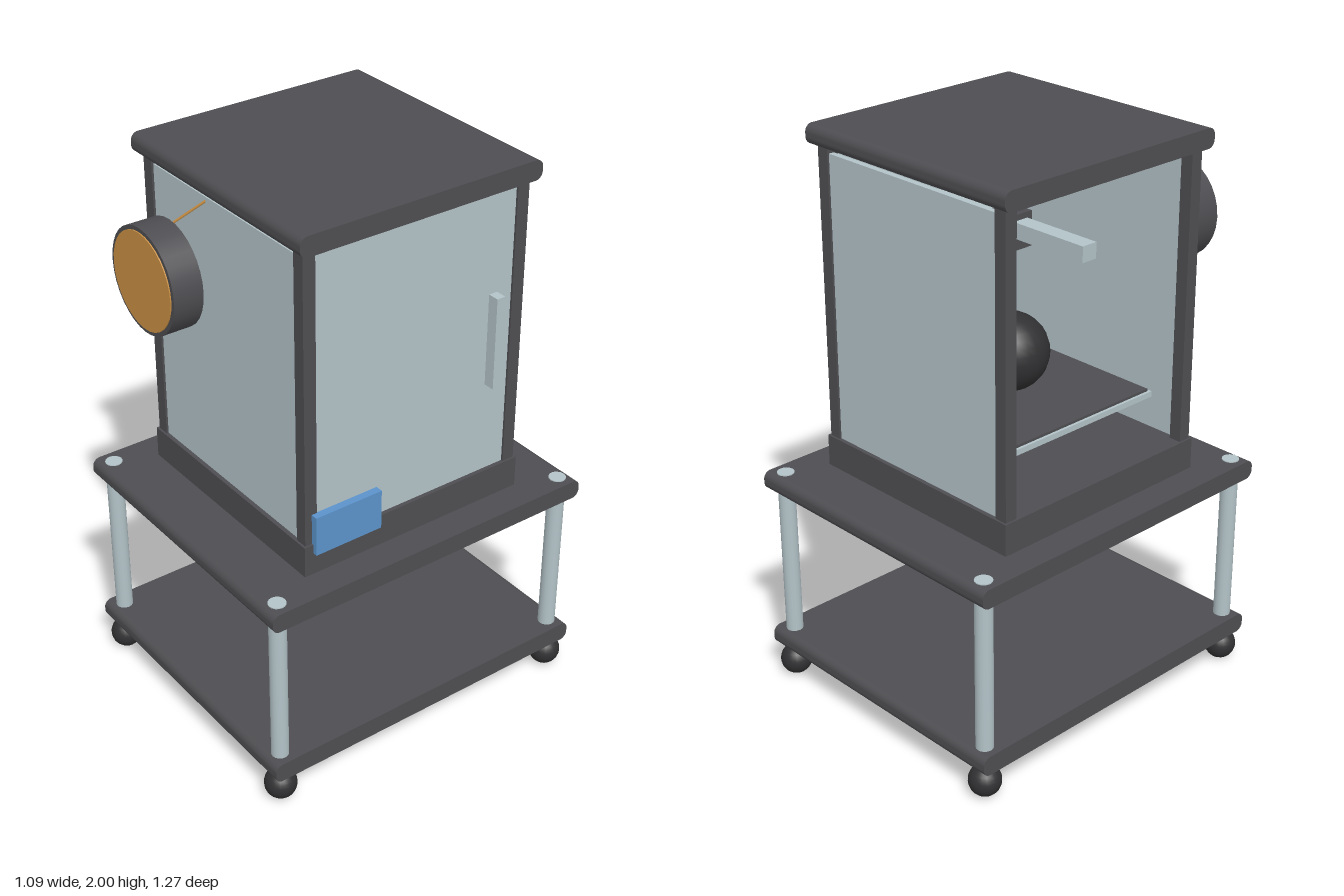
import * as THREE from 'three';

const mat = (name, color, side = THREE.FrontSide) => {
  const m = new THREE.MeshStandardMaterial({ color, side });
  m.name = name;
  return m;
};

export function createModel() {
  const root = new THREE.Group();
  root.name = 'enclosedPrinterOnCart';

  const frame = mat('charcoal frame', 0x4e4d51);
  const black = mat('black rubber', 0x313133);
  const pale = mat('pale blue grey', 0xb3c3c8);
  const orange = mat('orange filament', 0xcb9144);
  const blue = mat('blue screen', 0x5c93cc);

  const add = (name, geo, material, x = 0, y = 0, z = 0) => {
    const mesh = new THREE.Mesh(geo, material);
    mesh.name = name;
    mesh.position.set(x, y, z);
    root.add(mesh);
    return mesh;
  };
  // Box given by its lower and upper limits on each axis
  const box = (name, material, x0, x1, y0, y1, z0, z1) =>
    add(name, new THREE.BoxGeometry(x1 - x0, y1 - y0, z1 - z0), material,
      (x0 + x1) / 2, (y0 + y1) / 2, (z0 + z1) / 2);

  // Slab with rounded front and back edges, extruded along x
  const slab = (name, halfX, halfZ, y0, y1) => {
    const h = (y1 - y0) / 2, r = 0.027, s = new THREE.Shape();
    s.moveTo(-halfZ + r, -h);
    s.lineTo(halfZ - r, -h);
    s.absarc(halfZ - r, -h + r, r, -Math.PI / 2, 0);
    s.absarc(halfZ - r, h - r, r, 0, Math.PI / 2);
    s.absarc(-halfZ + r, h - r, r, Math.PI / 2, Math.PI);
    s.absarc(-halfZ + r, -h + r, r, Math.PI, Math.PI * 1.5);
    const geo = new THREE.ExtrudeGeometry(s, { depth: halfX * 2, bevelEnabled: false, curveSegments: 5 });
    geo.translate(0, 0, -halfX);
    geo.rotateY(Math.PI / 2);
    add(name, geo, frame, 0, (y0 + y1) / 2, 0);
  };

  // Cart shelves and lid
  slab('lowerShelf', 0.543, 0.634, 0.115, 0.185);
  slab('upperShelf', 0.543, 0.634, 0.733, 0.8);
  slab('lid', 0.454, 0.454, 1.932, 2.0);

  // Cart legs, casters and enclosure corner posts
  for (const sx of [-1, 1]) {
    for (const sz of [-1, 1]) {
      add('cartLeg', new THREE.CylinderGeometry(0.03, 0.03, 0.644, 16), pale, sx * 0.49, 0.481, sz * 0.581);
      add('caster', new THREE.SphereGeometry(0.056, 20, 14), black, sx * 0.49, 0.057, sz * 0.581);
      add('cornerPost', new THREE.BoxGeometry(0.045, 1.03, 0.045), frame, sx * 0.405, 1.42, sz * 0.405);
    }
  }

  // Enclosure base and panels; the left side is open
  box('enclosureBase', frame, -0.435, 0.435, 0.8, 0.912, -0.435, 0.435);
  box('frontPanel', pale, -0.385, 0.385, 0.91, 1.912, 0.4, 0.42);
  box('backPanel', pale, -0.385, 0.385, 0.91, 1.912, -0.42, -0.4);
  box('rightPanel', pale, 0.4, 0.42, 0.91, 1.912, -0.385, 0.385);
  box('doorHandle', pale, 0.42, 0.46, 1.24, 1.568, -0.324, -0.292);
  box('screen', blue, 0.425, 0.452, 0.88, 1.022, 0.147, 0.402);

  // Interior: bed, printed ball, gantry and print head
  box('bedPlate', pale, -0.335, 0.335, 1.065, 1.085, -0.335, 0.335);
  box('bedSheet', frame, -0.325, 0.325, 1.085, 1.094, -0.325, 0.325);
  add('printedBall', new THREE.SphereGeometry(0.135, 24, 16), black, 0, 1.229, 0);
  box('gantryBar', pale, -0.355, 0.355, 1.645, 1.7, -0.03, 0.03);
  box('printHead', frame, -0.05, 0.05, 1.6, 1.72, -0.05, 0.05);

  // Filament spool on the front
  const disc = (name, r, z0, z1, material, sides) => {
    const geo = new THREE.CylinderGeometry(r, r, z1 - z0, sides);
    geo.rotateX(Math.PI / 2);
    add(name, geo, material, -0.182, 1.64, (z0 + z1) / 2);
  };
  disc('spoolBody', 0.18, 0.492, 0.599, frame, 32);
  disc('spoolFace', 0.166, 0.596, 0.603, orange, 32);
  disc('spoolShaft', 0.017, 0.458, 0.5, pale, 12);

  // Loose filament strand
  const strand = new THREE.LineCurve3(new THREE.Vector3(-0.175, 1.805, 0.495), new THREE.Vector3(-0.085, 1.9, 0.415));
  add('filamentStrand', new THREE.TubeGeometry(strand, 1, 0.004, 6), orange);

  return root;
}
